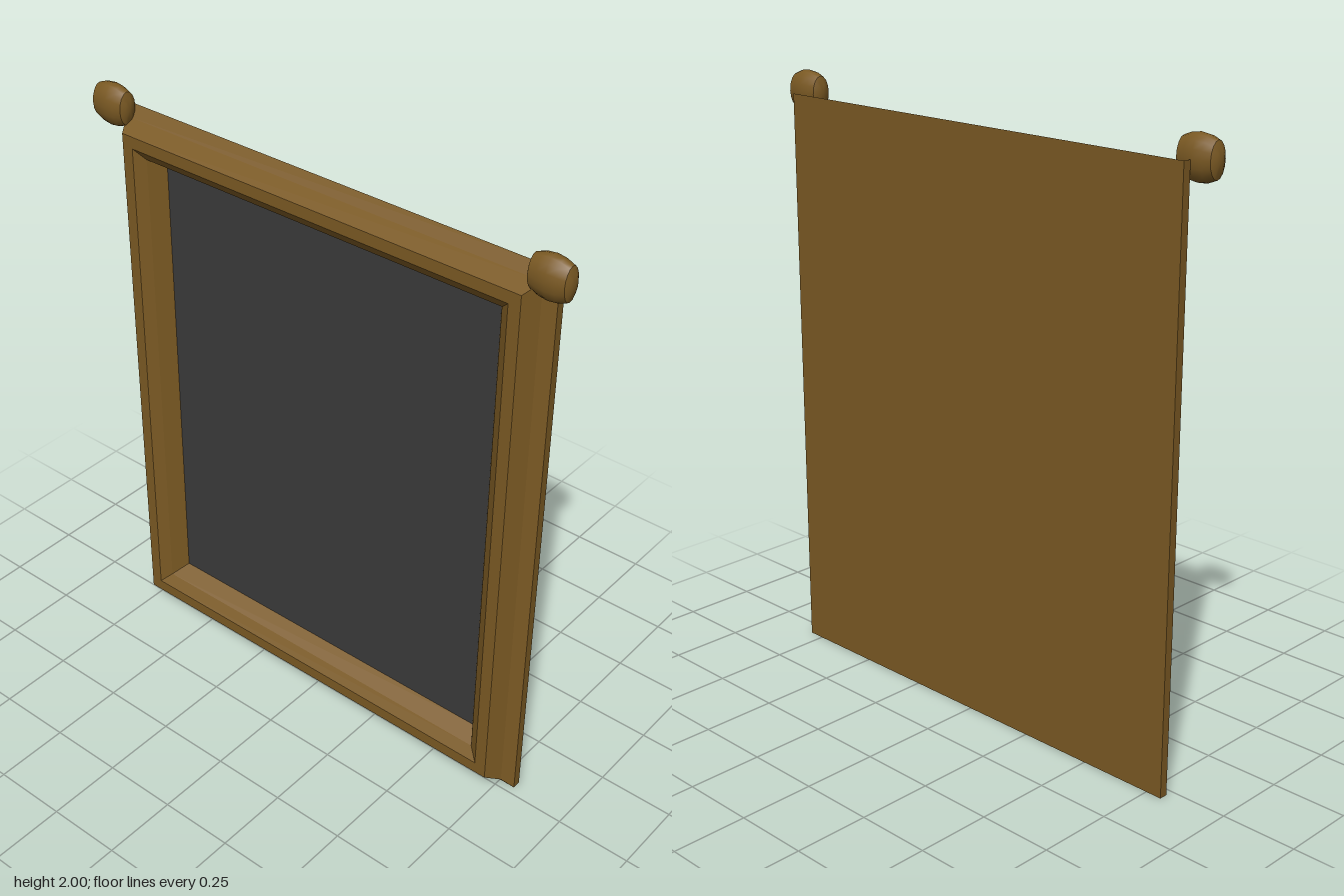
import * as THREE from 'three';
import { toCreasedNormals } from 'three/addons/utils/BufferGeometryUtils.js';

const HALF_W = 0.805, HEIGHT = 1.93;

// Corners of the frame rectangle, moved inward by inset, at depth z
function ring(inset, z) {
  const x = HALF_W - inset, b = inset, t = HEIGHT - inset;
  return [[-x, b, z], [x, b, z], [x, t, z], [-x, t, z]];
}

function quadGeometry(quads) {
  const pos = [];
  for (const [a, b, c, d] of quads) pos.push(...a, ...b, ...c, ...a, ...c, ...d);
  const g = new THREE.BufferGeometry();
  g.setAttribute('position', new THREE.Float32BufferAttribute(pos, 3));
  g.computeVertexNormals();
  return g;
}

export function createModel() {
  const group = new THREE.Group();
  const wood = new THREE.MeshStandardMaterial({ color: 0x7a5923 });
  const slate = new THREE.MeshStandardMaterial({ color: 0x3a3a3a });

  const add = (name, geometry, material) => {
    const mesh = new THREE.Mesh(geometry, material);
    mesh.name = name;
    group.add(mesh);
    return mesh;
  };

  // Mitred moulding: [inset, z] from the back rim to the opening
  const profile = [
    [0, -0.055], [0, -0.027], [0.035, 0], [0.065, 0.052],
    [0.105, 0.052], [0.14, 0.027], [0.175, -0.025],
  ];
  const rings = profile.map(([i, z]) => ring(i, z));
  const quads = [];
  for (let r = 0; r < rings.length - 1; r++) {
    for (let k = 0; k < 4; k++) {
      if (r === 0 && k === 2) continue; // the rim is open along the top
      const n = (k + 1) % 4;
      quads.push([rings[r][k], rings[r][n], rings[r + 1][n], rings[r + 1][k]]);
    }
  }
  add('frameMoulding', quadGeometry(quads), wood);

  // Back board and dark writing surface
  add('backBoard', quadGeometry([[...rings[0]].reverse()]), wood);
  add('darkPanel', quadGeometry([rings[rings.length - 1]]), slate);

  // Flattened barrel knobs on the top corners
  const knobProfile = [
    [0, -0.07], [0.03, -0.067], [0.055, -0.058], [0.066, -0.03], [0.07, 0],
    [0.066, 0.03], [0.055, 0.058], [0.03, 0.067], [0, 0.07],
  ].map(([r, y]) => new THREE.Vector2(r, y));
  const knob = toCreasedNormals(
    new THREE.LatheGeometry(knobProfile, 16).rotateZ(Math.PI / 2).scale(1, 1, 0.6), 0.7);
  for (const [name, side] of [['leftKnob', 1], ['rightKnob', -1]]) {
    add(name, knob, wood).position.set(side * 0.807, HEIGHT, 0.014);
  }
  return group;
}
